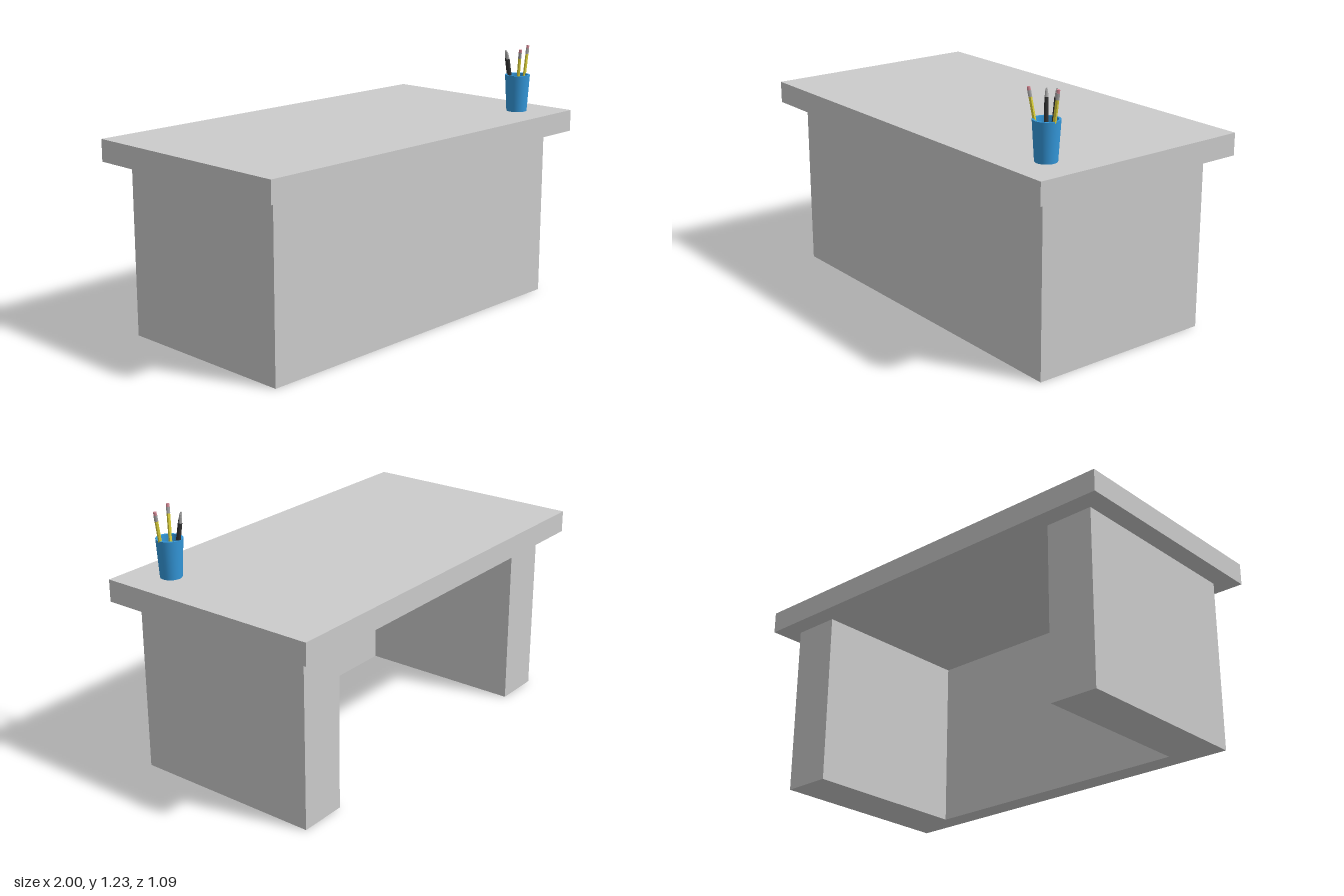
import * as THREE from 'three';

const material = (color, flatShading = false) => new THREE.MeshStandardMaterial({ color, flatShading });

function addMesh(parent, name, geometry, mat) {
  const mesh = new THREE.Mesh(geometry, mat);
  mesh.name = name;
  parent.add(mesh);
  return mesh;
}

// Stacks segments [name, length, bottom radius, top radius, material] from foot to tip.
function makeStick(name, foot, tip, sides, segments) {
  const stick = new THREE.Group();
  stick.name = name;
  const from = new THREE.Vector3(...foot);
  const axis = new THREE.Vector3(...tip).sub(from);
  // The first segment takes up whatever length the others leave.
  const rest = segments.slice(1).reduce((sum, s) => sum + s[1], 0);
  let y = 0;
  segments.forEach(([part, length, r0, r1, mat], i) => {
    const h = i === 0 ? axis.length() - rest : length;
    const geometry = new THREE.CylinderGeometry(r1, r0, h, sides);
    addMesh(stick, part, geometry.translate(0, y + h / 2, 0), mat);
    y += h;
  });
  stick.position.copy(from);
  stick.quaternion.setFromUnitVectors(new THREE.Vector3(0, 1, 0), axis.normalize());
  return stick;
}

export function createModel() {
  const model = new THREE.Group();
  model.name = 'desk';
  const grey = material(0xcccccc);

  // Base: U-shaped plan, two pedestals joined by the front panel, open at the back
  const W = 0.907, D = 0.457, inner = 0.677, panel = 0.1;
  const plan = new THREE.Shape([
    [-W, -D], [W, -D], [W, D], [inner, D],
    [inner, panel - D], [-inner, panel - D], [-inner, D], [-W, D],
  ].map(([x, y]) => new THREE.Vector2(x, y)));
  const base = new THREE.ExtrudeGeometry(plan, { depth: 0.815, bevelEnabled: false });
  addMesh(model, 'base', base.rotateX(-Math.PI / 2), grey);

  // Desktop slab
  addMesh(model, 'desktop', new THREE.BoxGeometry(2, 0.103, 1.094), grey).position.y = 0.8665;

  // Hollow tapered cup; doubled corner points keep the rim crisp
  const holder = new THREE.Group();
  holder.name = 'pencilHolder';
  holder.position.set(0.81, 0.918, 0.36);
  model.add(holder);
  const profile = [
    [0, 0], [0.049, 0], [0.049, 0], [0.06, 0.177], [0.06, 0.177],
    [0.05, 0.177], [0.05, 0.177], [0.04, 0.01], [0.04, 0.01], [0, 0.01],
  ].map(([r, y]) => new THREE.Vector2(r, y));
  addMesh(holder, 'cup', new THREE.LatheGeometry(profile, 32), material(0x3498db));

  // Pencils with ferrule and eraser
  const yellow = material(0xe0d43c, true);
  const metal = material(0xaaaaaa);
  const pink = material(0xd48a96);
  const black = material(0x333333);
  [
    [[-0.02, 0.012, 0.01], [-0.052, 0.308, 0.052]],
    [[0.028, 0.012, 0.003], [0.074, 0.312, 0.003]],
  ].forEach(([foot, tip]) => holder.add(makeStick('pencil', foot, tip, 6, [
    ['pencilBody', 0, 0.008, 0.008, yellow],
    ['ferrule', 0.028, 0.0085, 0.0085, metal],
    ['eraser', 0.015, 0.008, 0.007, pink],
  ])));

  // Dark pens with tapered tips
  [
    [[-0.012, 0.012, -0.008], [-0.043, 0.29, -0.035]],
    [[-0.002, 0.012, -0.024], [-0.012, 0.29, -0.065]],
  ].forEach(([foot, tip]) => holder.add(makeStick('pen', foot, tip, 12, [
    ['penBody', 0, 0.009, 0.009, black],
    ['penCollar', 0.025, 0.008, 0.006, metal],
    ['penTip', 0.012, 0.006, 0.003, metal],
  ])));

  return model;
}
